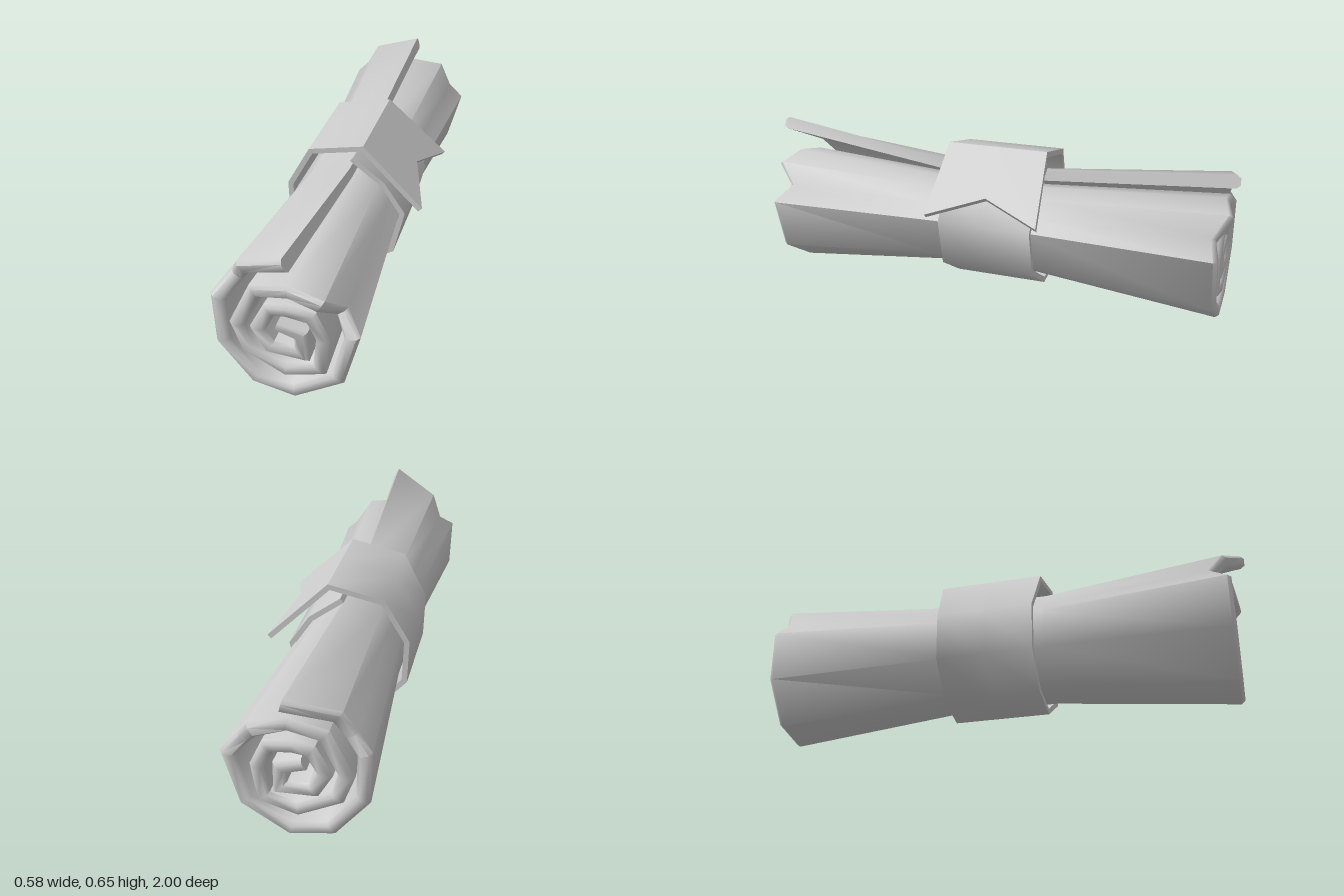
import * as THREE from 'three';
import { toCreasedNormals } from 'three/addons/utils/BufferGeometryUtils.js';

const material = new THREE.MeshStandardMaterial({ color: 0xcccccc });

// Inward offset direction (mitred) at point i of a counter-clockwise open path
function inward(pts, i) {
  const normal = (a, b) => new THREE.Vector2(a[1] - b[1], b[0] - a[0]).normalize();
  const before = i > 0 ? normal(pts[i - 1], pts[i]) : null;
  const after = i < pts.length - 1 ? normal(pts[i], pts[i + 1]) : null;
  if (!before || !after) return before || after;
  const sum = before.clone().add(after).normalize();
  return sum.multiplyScalar(1 / Math.max(sum.dot(before), 0.6));
}

// Thick sheet lofted through rows running from front to back.
// Each row: pts [x, y, z] along the outer face, thickness t, inset of both faces.
function sheet(name, rows, crease) {
  const n = rows[0].pts.length, ring = 2 * n;
  const position = [], index = [];
  for (const { pts, t, inset = 0 } of rows) {
    const face = (i, depth) => {
      const d = inward(pts, i);
      position.push(pts[i][0] + d.x * depth, pts[i][1] + d.y * depth, pts[i][2]);
    };
    for (let i = 0; i < n; i++) face(i, t * inset);
    for (let i = n - 1; i >= 0; i--) face(i, t * (1 - inset));
  }
  for (let r = 0; r < rows.length - 1; r++) {
    for (let k = 0; k < ring; k++) {
      const a = r * ring + k, b = r * ring + (k + 1) % ring;
      index.push(a, a + ring, b, b, a + ring, b + ring);
    }
  }
  // Front and back edges of the sheet
  const last = (rows.length - 1) * ring;
  for (let i = 0; i < n - 1; i++) {
    const a = i, b = i + 1, c = ring - 2 - i, d = ring - 1 - i;
    index.push(a, b, c, a, c, d);
    index.push(last + a, last + c, last + b, last + a, last + d, last + c);
  }
  const geometry = new THREE.BufferGeometry();
  geometry.setAttribute('position', new THREE.Float32BufferAttribute(position, 3));
  geometry.setIndex(index);
  const mesh = new THREE.Mesh(toCreasedNormals(geometry, crease), material);
  mesh.name = name;
  return mesh;
}

// Rolled sheet: an angular spiral, pinched where it is tied
function rolledSheet() {
  const spiral = [
    [0, 0.65], [-0.19, 0.555], [-0.235, 0.47], [-0.29, 0.41], [-0.285, 0.2], [-0.16, 0.035],
    [0.005, 0], [0.185, 0.11], [0.245, 0.33], [0.185, 0.4], [0.13, 0.48], [0, 0.505],
    [-0.145, 0.475], [-0.23, 0.295], [-0.19, 0.18], [-0.03, 0.093], [0.12, 0.135],
    [0.14, 0.29], [0.09, 0.4], [-0.015, 0.415], [-0.095, 0.405], [-0.155, 0.29],
    [-0.1, 0.19], [0.06, 0.18], [0.058, 0.31], [-0.045, 0.345],
  ];
  // Ragged ends: z per spiral point, with torn notches
  const frontZ = { 0: 1, 1: 0.93, 2: 0.87, 9: 0.88, 10: 0.965, 11: 0.95 };
  const backZ = { 0: -1, 1: -0.96, 2: -0.94, 9: -0.945, 10: -0.995, 11: -0.965 };
  const front = i => frontZ[i] ?? 0.94;
  const back = i => backZ[i] ?? -0.965;

  const row = (zAt, flapY, sx, sy, t, inset) => ({
    t, inset,
    pts: spiral.map(([x, y], i) => [
      -0.025 + (x + 0.025) * sx,
      0.31 + ((i === 0 ? flapY : y) - 0.31) * sy,
      zAt(i),
    ]),
  });
  return sheet('rolledSheet', [
    row(front, 0.65, 1, 1, 0.052, 0.22),
    row(i => front(i) - 0.015, 0.65, 1, 1, 0.052, 0),
    row(() => 0.2, 0.6, 0.81, 0.75, 0.04, 0),
    row(() => -0.2, 0.6, 0.81, 0.75, 0.04, 0),
    row(i => back(i) + 0.015, 0.6, 1, 1, 0.052, 0),
    row(back, 0.6, 1, 1, 0.052, 0.22),
  ], 0.95);
}

// Band wrapped once around the roll, with a loose swallow-tailed end
function band() {
  const path = [
    [0.29, 0.385], [0.045, 0.625], [-0.18, 0.58], [-0.28, 0.4], [-0.275, 0.21], [-0.155, 0.07],
    [0, 0.035], [0.17, 0.135], [0.215, 0.33], [0.13, 0.46], [0, 0.56],
  ];
  const edge = (tail, top, rest) => ({
    t: 0.022,
    pts: path.map(([x, y], i) => [x, y, i === 0 ? tail : i < 3 ? top : rest]),
  });
  const middle = edge(-0.04, -0.035, -0.033);
  middle.pts[0] = [0.215, 0.458, -0.045];
  return sheet('band', [edge(0.19, 0.18, 0.165), middle, edge(-0.28, -0.245, -0.23)], 0.95);
}

export function createModel() {
  const group = new THREE.Group();
  group.name = 'tiedScroll';
  group.add(rolledSheet(), band());
  return group;
}
